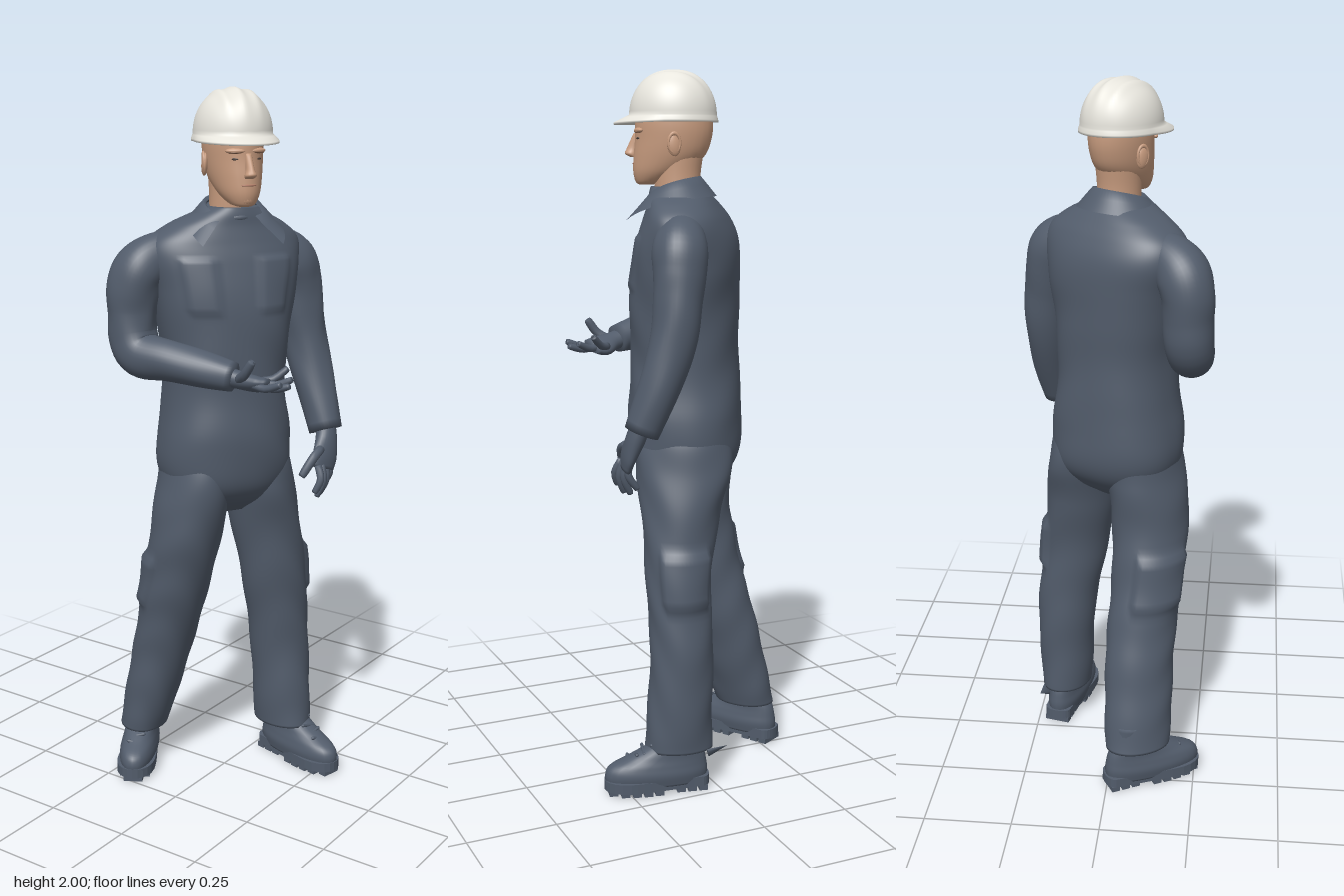
import * as THREE from 'three';

const V = (x, y, z) => new THREE.Vector3(x, y, z);
const mat = (color, side = THREE.FrontSide) => new THREE.MeshStandardMaterial({ color, side });
const cloth = mat(0x525c6b, THREE.DoubleSide), white = mat(0xe6e4dc), skinMat = mat(0xc89c7f);
const hair = mat(0x8a6650), eyeMat = mat(0x4a3f3a), lip = mat(0xb27d69);

function add(parent, name, geo, material, pos = [0, 0, 0], rot = [0, 0, 0], scale = [1, 1, 1]) {
  const m = new THREE.Mesh(geo, material);
  m.name = name;
  m.position.set(...pos); m.rotation.set(...rot); m.scale.set(...scale);
  parent.add(m);
}

// Joins loops of points into a smooth surface; closed loops get end caps
function joinRings(rings, closed = true) {
  const n = rings[0].length, pos = rings.flat().flatMap(p => [p.x, p.y, p.z]), idx = [];
  for (let i = 0; i < rings.length - 1; i++)
    for (let j = 0; j < (closed ? n : n - 1); j++) {
      const a = i * n + j, b = i * n + (j + 1) % n;
      idx.push(a, b, a + n, b, b + n, a + n);
    }
  if (closed) [0, rings.length - 1].forEach((r, end) => {
    const c = rings[r].reduce((s, p) => s.add(p), V(0, 0, 0)).divideScalar(n), k = pos.length / 3;
    pos.push(c.x, c.y, c.z);
    for (let j = 0; j < n; j++) {
      const a = r * n + j, b = r * n + (j + 1) % n;
      end ? idx.push(k, a, b) : idx.push(k, b, a);
    }
  });
  const g = new THREE.BufferGeometry();
  g.setAttribute('position', new THREE.Float32BufferAttribute(pos, 3));
  g.setIndex(idx);
  g.computeVertexNormals();
  return g;
}

// Rows are [x, y, z, half width, half depth, heading]; flat keeps sections level.
// Pockets are raised areas [angle, half angle, bottom, top, height]
function loft(rows, { flat = false, seg = 28, sub = 6, fold = 0, square = 1, pockets = [] } = {}) {
  const path = new THREE.CatmullRomCurve3(rows.map(r => V(r[0], r[1], r[2])), false, 'catmullrom', 0.5);
  const size = new THREE.CatmullRomCurve3(rows.map(r => V(r[3], r[4] ?? r[3], r[5] ?? 0)), false, 'catmullrom', 0.5);
  const count = (rows.length - 1) * sub, rings = [];
  let S = V(1, 0, 0.2);
  for (let i = 0; i <= count; i++) {
    const c = path.getPoint(i / count), r = size.getPoint(i / count);
    const T = flat ? V(0, 1, 0) : path.getTangent(i / count);
    if (flat) S = V(Math.cos(r.z), 0, -Math.sin(r.z));
    S = S.addScaledVector(T, -T.dot(S)).normalize();
    const B = T.clone().cross(S), ring = [];
    for (let j = 0; j < seg; j++) {
      const a = j / seg * Math.PI * 2, co = Math.cos(a), si = Math.sin(a);
      const f = 1 + fold * Math.sin(c.y * 34 + c.x * 25 + 3 * Math.sin(a + 1) + 1.6 * Math.cos(2 * a));
      const raise = pockets.reduce((s, [pa, half, y0, y1, h]) => {
        const off = Math.abs(Math.atan2(Math.sin(a - pa), Math.cos(a - pa)));
        return s + h * THREE.MathUtils.smoothstep(half - off, 0, .1)
          * THREE.MathUtils.smoothstep(Math.min(c.y - y0, y1 - c.y), 0, .014);
      }, 0);
      ring.push(c.clone().addScaledVector(S, (r.x * f + raise) * Math.sign(co) * Math.abs(co) ** square)
        .addScaledVector(B, (r.y * f + raise) * Math.sign(si) * Math.abs(si) ** square));
    }
    rings.push(ring);
  }
  return joinRings(rings);
}

function finger(parent, name, from, to, r, bend) {
  const m = from.map((v, i) => (v + to[i]) / 2 + bend[i]), tip = to.map((v, i) => v + (to[i] - m[i]) * 0.1);
  add(parent, name, loft([[...from, r], [...m, r], [...to, r * 0.85], [...tip, r * 0.35]], { seg: 10, sub: 3 }), cloth);
}

// Boot points along its own +z
function boot(name, x, z, turn) {
  const g = new THREE.Group();
  g.name = name; g.position.set(x, 0, z); g.rotation.y = turn;
  add(g, 'bootUpper', loft([[0, .025, 0, .05, .144], [0, .055, 0, .055, .147], [0, .08, -.006, .051, .138], [0, .105, -.03, .046, .108],
    [0, .14, -.053, .045, .07], [0, .2, -.058, .045, .06]], { flat: true, square: 0.88 }), cloth);
  const s = new THREE.Shape();
  s.moveTo(-.04, -.13);
  s.bezierCurveTo(-.035, -.158, .035, -.158, .04, -.13);
  s.bezierCurveTo(.045, -.03, .058, .02, .056, .08);
  s.bezierCurveTo(.05, .172, -.05, .172, -.056, .08);
  s.bezierCurveTo(-.058, .02, -.045, -.03, -.04, -.13);
  const sole = new THREE.ExtrudeGeometry(s, { depth: .028, bevelEnabled: false, curveSegments: 10 });
  add(g, 'sole', sole.rotateX(Math.PI / 2), cloth, [0, .042, 0]);
  for (let i = 0; i < 9; i++) {
    if (i === 3) continue;
    const w = .076 + .026 * Math.sin(Math.max(0, i - 2) / 6 * Math.PI) - (i === 8 ? .02 : 0);
    add(g, 'treadLug', new THREE.BoxGeometry(w, .015, .024), cloth, [0, .0075, -.13 + i * .032]);
  }
  for (let i = 0; i < 4; i++)
    add(g, 'lace', new THREE.CapsuleGeometry(.005, .045, 3, 8), cloth, [0, .096 + i * .013, .08 - i * .021], [0, 0, Math.PI / 2 + (i % 2 ? .25 : -.25)]);
  return g;
}

// Helmet shell: brim with a squared peak, rim and ribbed dome
function helmetGeometry() {
  const seg = 80, rings = [];
  const ring = (y, w, d, peak, ribs = 0) => rings.push(Array.from({ length: seg }, (_, j) => {
    const a = j / seg * Math.PI * 2, f = Math.max(0, -Math.sin(a)), x = w * Math.cos(a);
    const rib = ribs * [-.045, 0, .045].reduce((s, c) => s + Math.exp(-(((x - c) / .012) ** 2)), 0);
    return V(x * (1 + peak * 6 * f * (1 - f)), y + rib - peak * .15 * f, -d * Math.sin(a) + peak * f ** 0.9);
  }));
  ring(1.878, .09, .106, 0);
  ring(1.864, .107, .122, .036);
  ring(1.858, .111, .125, .04);
  ring(1.864, .111, .125, .04);
  ring(1.874, .107, .122, .012);
  for (let i = 0; i <= 20; i++) {
    const t = i / 20 * Math.PI * .495, c = Math.cos(t) ** .85;
    ring(1.878 + .115 * Math.sin(t), .106 * c, .121 * c, 0, .006 * Math.sin(t) ** .6);
  }
  return joinRings(rings);
}

function head() {
  const g = new THREE.Group();
  g.name = 'head'; g.position.set(.034, 0, .011); g.rotation.y = 1.02;
  add(g, 'neck', loft([[0, 1.6, -.02, .062, .066], [0, 1.7, -.012, .058, .064], [0, 1.78, -.015, .06, .07]], { flat: true }), skinMat);
  add(g, 'skull', loft([[0, 1.69, .075, .02, .02], [0, 1.698, .062, .036, .042], [0, 1.725, .037, .055, .074], [0, 1.765, .012, .068, .098],
    [0, 1.81, 0, .075, .106], [0, 1.86, -.003, .077, .108], [0, 1.92, -.003, .07, .1], [0, 1.96, 0, .04, .06]], { flat: true }), skinMat);
  add(g, 'nose', loft([[0, 1.765, .108, .013, .012], [0, 1.774, .117, .016, .017], [0, 1.79, .112, .011, .016], [0, 1.83, .099, .009, .01]], { flat: true, seg: 14 }), skinMat);
  const ball = new THREE.SphereGeometry(1, 18, 12);
  add(g, 'chin', ball, skinMat, [0, 1.71, .087], [0, 0, 0], [.026, .02, .021]);
  add(g, 'upperLip', ball, lip, [0, 1.747, .105], [0, 0, 0], [.022, .004, .007]);
  add(g, 'lowerLip', ball, lip, [0, 1.739, .102], [0, 0, 0], [.019, .005, .008]);
  for (const s of [-1, 1]) {
    add(g, 'browRidge', ball, skinMat, [s * .032, 1.836, .09], [0, s * .4, 0], [.028, .008, .012]);
    add(g, 'eyebrow', ball, hair, [s * .033, 1.832, .094], [0, s * .42, s * -.08], [.02, .003, .008]);
    add(g, 'eye', ball, eyeMat, [s * .031, 1.815, .09], [0, s * .4, 0], [.012, .004, .007]);
    add(g, 'ear', ball, skinMat, [s * .077, 1.797, -.012], [.15, s * .35, 0], [.009, .031, .019]);
    add(g, 'earRim', new THREE.TorusGeometry(.018, .004, 8, 20), skinMat, [s * .08, 1.802, -.014], [0, Math.PI / 2 + s * .35, 0], [.9, 1.4, 1]);
  }
  add(g, 'helmet', helmetGeometry(), white, [0, 0, 0], [0, -.08, 0]);
  return g;
}

// Open collar whose ends fall into points at the front
function collarGeometry() {
  const rows = [[.07, 0], [.078, .008], [.098, -.014], [.126, -.046]];
  return joinRings(rows.map(([r, dy], k) => Array.from({ length: 49 }, (_, j) => {
    const u = j / 24 - 1, a = u * 2.62, front = Math.abs(u) ** 6;
    const wide = r + (k / 3) ** 2 * .014 * front;
    return V(wide * Math.sin(a) * (1 + .6 * front * k / 3), 1.705 + dy * (1 + .3 * front) - .055 * u * u, -wide * Math.cos(a) * .92);
  })), false);
}

export function createModel() {
  const model = new THREE.Group();
  model.name = 'worker';

  // Overalls
  const front = -Math.PI / 2;
  add(model, 'torso', loft([[.01, .825, 0, .07, .05, 1.06], [.005, .875, 0, .15, .115, 1.06], [0, .94, .003, .187, .152, 1.06], [0, 1.05, .005, .187, .16, 1.02],
    [0, 1.2, .005, .17, .15, .95], [.002, 1.35, .005, .184, .15, .93], [-.004, 1.46, .002, .205, .146, .94], [-.008, 1.54, .002, .222, .134, .95],
    [-.006, 1.595, .002, .212, .115, .95], [.004, 1.635, .003, .165, .096, .93], [.018, 1.665, .005, .105, .081, .9], [.03, 1.685, .006, .066, .067, .88]],
    { flat: true, seg: 96, sub: 9, fold: .009, square: .86,
      pockets: [[front - .47, .29, 1.4, 1.56, .006], [front + .47, .29, 1.4, 1.56, .006]] }), cloth);
  const leg = { flat: true, seg: 60, sub: 12, fold: .016 };
  add(model, 'rightTrouserLeg', loft([[-.238, .12, .085, .07, .097, .5], [-.215, .2, .085, .078, .101, .5], [-.16, .4, .085, .089, .103, .6], [-.1, .6, .1, .097, .108, .75],
    [-.058, .78, .104, .103, .12, .9], [-.045, .9, .09, .1, .134, 1.04], [-.04, 1.0, .078, .092, .128, 1.06], [-.03, 1.08, .06, .07, .09, 1.03]],
    { ...leg, pockets: [[Math.PI - .25, .8, .53, .7, .013]] }), cloth);
  add(model, 'leftTrouserLeg', loft([[.1, .12, -.165, .073, .097, 1.3], [.098, .2, -.165, .079, .093, 1.3], [.088, .4, -.161, .088, .089, 1.25], [.085, .6, -.132, .097, .092, 1.15],
    [.066, .78, -.108, .101, .11, 1.1], [.05, .9, -.09, .1, .134, 1.06], [.043, 1.0, -.078, .092, .128, 1.06], [.03, 1.08, -.058, .07, .09, 1.03]],
    { ...leg, pockets: [[.25, .8, .53, .7, .013]] }), cloth);
  add(model, 'hemTab', new THREE.ConeGeometry(.018, .06, 8), cloth, [.008, .118, -.23], [-.6, 0, 1.2], [1, 1, .4]);
  const neckline = new THREE.Group();
  neckline.name = 'neckline'; neckline.position.set(.03, 0, .008); neckline.rotation.y = .88;
  add(neckline, 'collar', collarGeometry(), cloth);
  add(neckline, 'shirtNeckband', new THREE.TorusGeometry(.062, .009, 10, 32), cloth, [0, 1.675, -.003], [Math.PI / 2 + .25, 0, 0], [1, 1.1, 1]);
  model.add(neckline);

  // Sleeves
  add(model, 'rightSleeve', loft([[-.075, 1.565, .095, .05], [-.115, 1.555, .148, .064], [-.146, 1.52, .188, .074], [-.16, 1.465, .204, .073], [-.165, 1.4, .206, .068],
    [-.16, 1.335, .21, .067], [-.125, 1.29, .215, .064], [-.04, 1.28, .207, .057], [.06, 1.265, .187, .05], [.145, 1.25, .165, .039]], { seg: 36, fold: .022 }), cloth);
  add(model, 'leftSleeve', loft([[.045, 1.565, -.09, .05], [.078, 1.555, -.14, .064], [.1, 1.52, -.18, .074], [.11, 1.465, -.198, .071], [.118, 1.4, -.206, .068],
    [.132, 1.3, -.214, .063], [.172, 1.17, -.21, .058], [.22, 1.04, -.193, .047]], { seg: 36, fold: .022 }), cloth);

  // Right glove, palm turned up
  const right = new THREE.Group();
  right.name = 'rightHand';
  add(right, 'palm', loft([[.13, 1.25, .168, .028, .026], [.165, 1.242, .158, .031, .024], [.205, 1.234, .141, .043, .021], [.235, 1.236, .13, .034, .014]], { sub: 4 }), cloth);
  [[.225, .163, .298, 1.247, .17], [.232, .143, .304, 1.238, .137], [.228, .123, .29, 1.248, .102], [.215, .106, .257, 1.268, .07]].forEach(([x, z, tx, ty, tz]) =>
    finger(right, 'finger', [x - .02, 1.236, z + .003], [tx - .006, ty, tz], .0105, [0, -.01, 0]));
  finger(right, 'thumb', [.165, 1.247, .175], [.22, 1.302, .194], .013, [.004, -.006, .006]);
  model.add(right);

  // Left glove, hanging
  const left = new THREE.Group();
  left.name = 'leftHand';
  add(left, 'palm', loft([[.222, 1.06, -.19, .027, .03], [.232, 1.02, -.178, .026, .036], [.242, .975, -.155, .02, .046], [.245, .94, -.142, .015, .04]], { sub: 4 }), cloth);
  [[-.112, -.09, .885], [-.13, -.116, .868], [-.15, -.143, .868], [-.168, -.17, .885]].forEach(([z, tz, ty], i) =>
    finger(left, 'finger', [.246, .955, z], [.25 - i * .008, ty, tz], .0105, [.013, 0, 0]));
  finger(left, 'thumb', [.24, 1.0, -.135], [.222, .935, -.066], .013, [.008, .012, .006]);
  model.add(left);

  model.add(boot('rightBoot', -.225, .127, .5), boot('leftBoot', .167, -.16, 1.34));
  model.add(head());
  return model;
}
